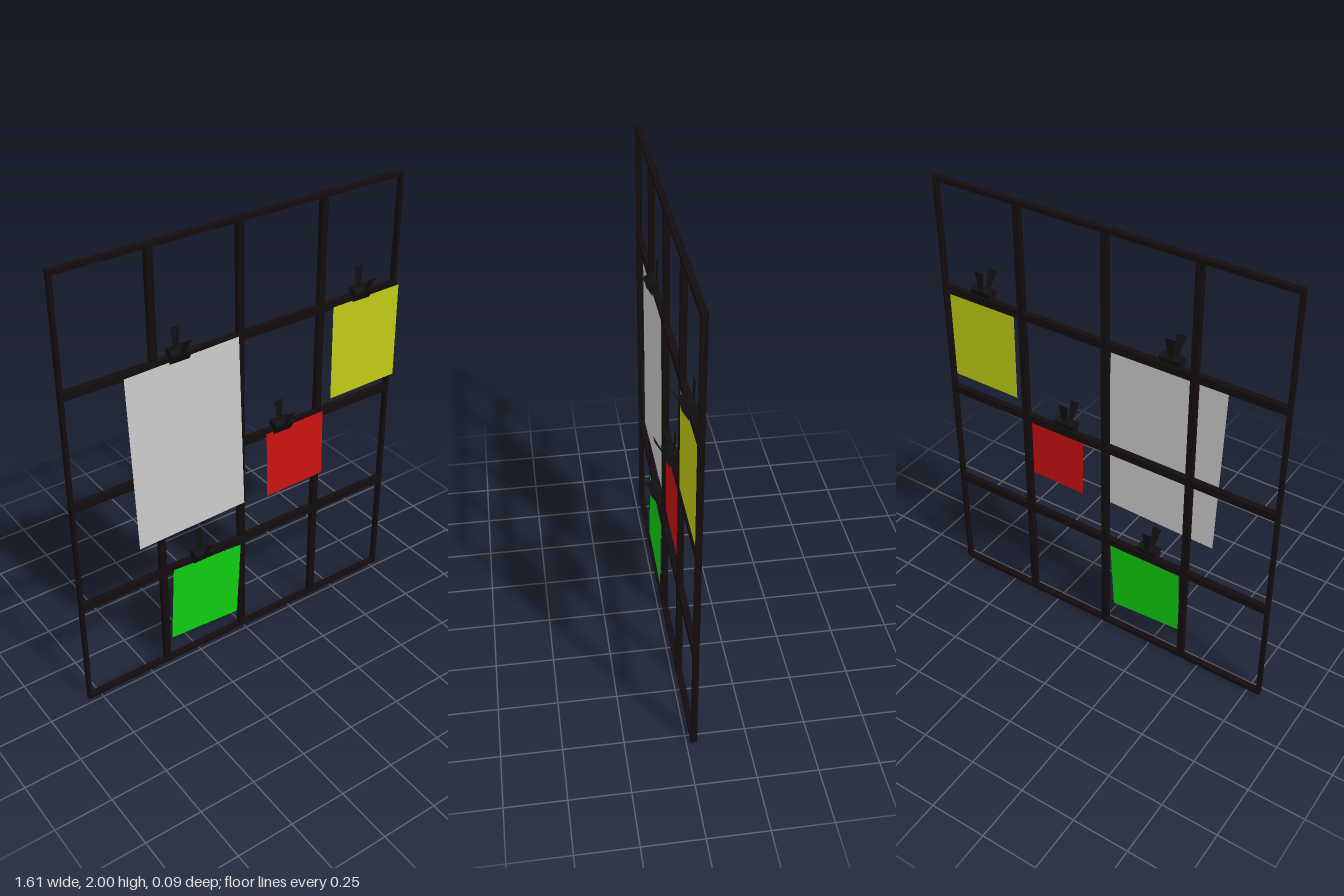
import * as THREE from 'three';

const dark = new THREE.MeshStandardMaterial({ color: 0x140c0e });
const clipMat = new THREE.MeshStandardMaterial({ color: 0x101010, side: THREE.DoubleSide });

const LEFT = -0.806, RIGHT = 0.79, HEIGHT = 2, FRAME_Z = -0.032, DEPTH = 0.025;

function bar(name, w, h, x, y) {
  const mesh = new THREE.Mesh(new THREE.BoxGeometry(w, h, DEPTH), dark);
  mesh.name = name;
  mesh.position.set(x, y, FRAME_Z);
  return mesh;
}

// Four-by-four grid: slim outer bars, thicker inner bars
function createGrid() {
  const grid = new THREE.Group();
  grid.name = 'grid';
  const width = RIGHT - LEFT, midX = (LEFT + RIGHT) / 2;
  for (let i = 0; i <= 4; i++) {
    const outer = i === 0 || i === 4;
    const side = i === 0 ? 1 : -1;
    const tv = outer ? 0.015 : 0.028, th = outer ? 0.019 : 0.034;
    const x = LEFT + (width * i) / 4 + (outer ? (side * tv) / 2 : 0);
    const y = (HEIGHT * i) / 4 + (outer ? (side * th) / 2 : 0);
    grid.add(bar('uprightBar', tv, HEIGHT, x, HEIGHT / 2));
    grid.add(bar('crossBar', width, th, midX, y));
  }
  return grid;
}

// Flat paper sheet, slightly askew
function createSheet(name, color, x, y, w, h, tilt) {
  const material = new THREE.MeshStandardMaterial({ color, side: THREE.DoubleSide });
  const sheet = new THREE.Mesh(new THREE.PlaneGeometry(w, h), material);
  sheet.name = name;
  sheet.position.set(x, y, -0.015);
  sheet.rotation.z = tilt;
  return sheet;
}

// Thin handle flaring from base to tip; both points are [y, z]
function createHandle(name, base, tip) {
  const geo = new THREE.PlaneGeometry(1, 1);
  const p = geo.attributes.position;
  for (let i = 0; i < p.count; i++) {
    const top = p.getY(i) > 0;
    const [y, z] = top ? tip : base;
    p.setXYZ(i, p.getX(i) * (top ? 0.044 : 0.022), y, z);
  }
  geo.computeVertexNormals();
  const handle = new THREE.Mesh(geo, clipMat);
  handle.name = name;
  return handle;
}

// Binder clip: wedge body with two handles
function createClip(x, y) {
  const clip = new THREE.Group();
  clip.name = 'clip';
  const profile = new THREE.Shape([
    new THREE.Vector2(-0.024, -0.026),
    new THREE.Vector2(0.012, 0.036),
    new THREE.Vector2(-0.016, 0.05),
    new THREE.Vector2(-0.046, 0.046),
  ]);
  const geo = new THREE.ExtrudeGeometry(profile, { depth: 0.09, bevelEnabled: false });
  geo.translate(0, 0, -0.045);
  geo.rotateY(-Math.PI / 2);
  const body = new THREE.Mesh(geo, clipMat);
  body.name = 'clipBody';
  clip.add(
    body,
    createHandle('frontHandle', [0.034, 0.009], [0.105, 0.046]),
    createHandle('backHandle', [0.044, -0.036], [0.13, -0.04]),
  );
  clip.position.set(x, y, 0);
  return clip;
}

export function createModel() {
  const model = new THREE.Group();
  model.name = 'gridBoard';
  model.add(createGrid());
  model.add(
    createSheet('greySheet', 0xcccccc, -0.272, 1.097, 0.52, 0.81, 0.03),
    createSheet('yellowSheet', 0xc0cc16, 0.626, 1.279, 0.352, 0.437, 0.012),
    createSheet('redSheet', 0xcc1111, 0.267, 0.846, 0.298, 0.322, 0.02),
    createSheet('greenSheet', 0x11cc11, -0.203, 0.306, 0.346, 0.37, -0.06),
  );
  for (const [x, y] of [[-0.3, 1.5], [0.593, 1.5], [0.195, 1], [-0.22, 0.5]]) {
    model.add(createClip(x, y));
  }
  return model;
}
